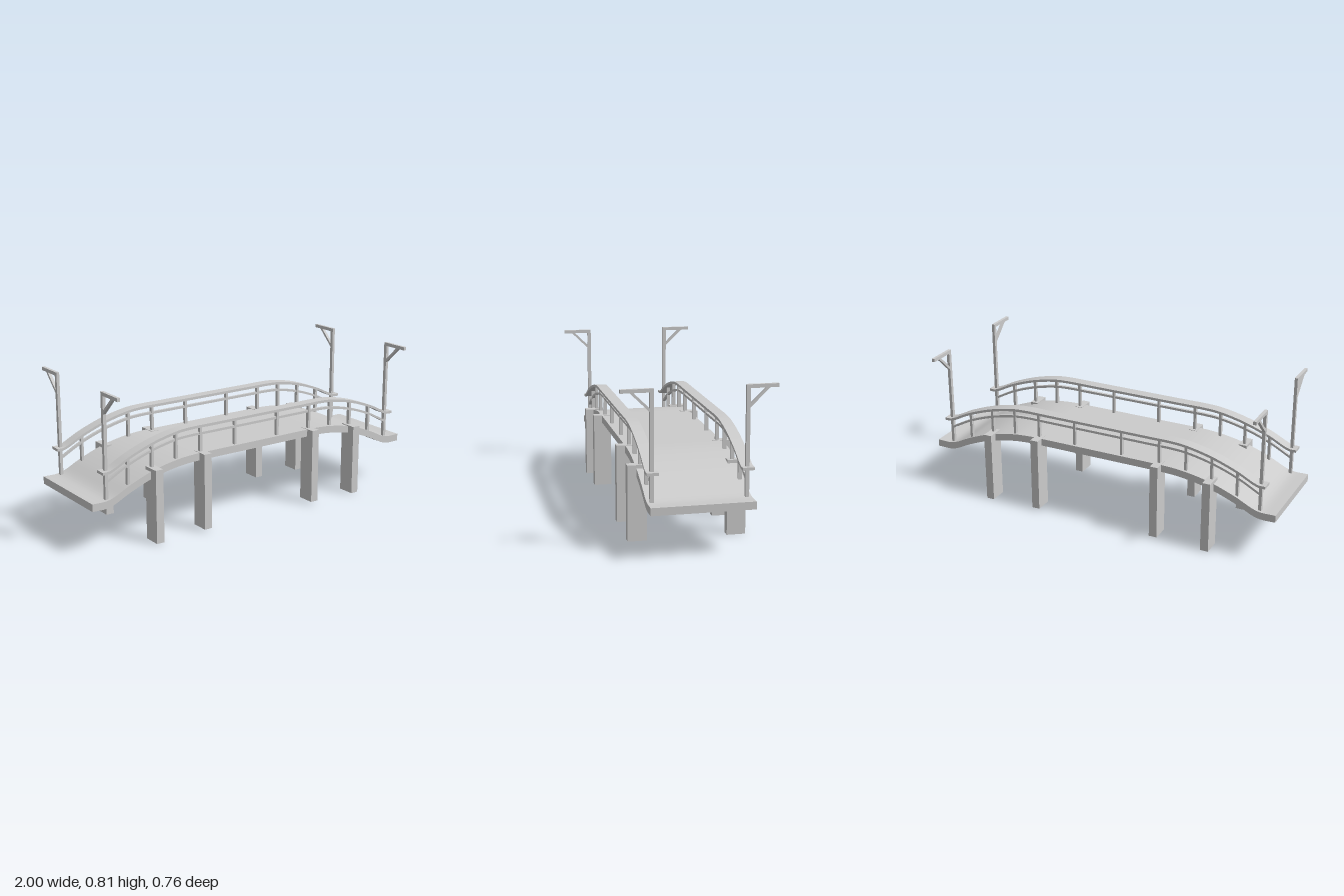
import * as THREE from 'three';
import { toCreasedNormals } from 'three/addons/utils/BufferGeometryUtils.js';

const material = new THREE.MeshStandardMaterial({ color: 0xcccccc });

// Upper edges of the arched parts, from the outer end to the middle (x, y)
const DECK = [[1, 0.27], [0.92, 0.27], [0.88, 0.28], [0.785, 0.325], [0.645, 0.376],
  [0.505, 0.404], [0.41, 0.412], [0.3, 0.413], [0, 0.413]];
const TOP_RAIL = [[0.94, 0.42], [0.9, 0.422], [0.785, 0.476], [0.645, 0.526],
  [0.505, 0.556], [0.42, 0.562], [0.3, 0.562], [0, 0.562]];
const LOW_RAIL = [[0.905, 0.368], [0.785, 0.43], [0.645, 0.48],
  [0.505, 0.51], [0.42, 0.516], [0.3, 0.516], [0, 0.516]];

// Smooth mirrored arch as a list of points from -x to +x
function arch(half) {
  const left = half.map(([x, y]) => new THREE.Vector3(-x, y, 0));
  const right = half.slice(0, -1).reverse().map(([x, y]) => new THREE.Vector3(x, y, 0));
  return new THREE.CatmullRomCurve3([...left, ...right]).getPoints(96);
}

// Height of an arch at a given x
function heightAt(points, x) {
  const i = Math.max(1, points.findIndex((p) => p.x >= x));
  const a = points[i - 1], b = points[i];
  return THREE.MathUtils.lerp(a.y, b.y, (x - a.x) / (b.x - a.x));
}

// Solid strip below an arch, spanning z0..z1
function strip(name, points, thickness, z0, z1) {
  const outline = [
    ...points.map((p) => new THREE.Vector2(p.x, p.y)),
    ...points.slice().reverse().map((p) => new THREE.Vector2(p.x, p.y - thickness)),
  ];
  const geometry = new THREE.ExtrudeGeometry(new THREE.Shape(outline), {
    depth: z1 - z0, bevelEnabled: false,
  });
  geometry.translate(0, 0, z0);
  const mesh = new THREE.Mesh(toCreasedNormals(geometry, 0.5), material);
  mesh.name = name;
  return mesh;
}

// Box given by its limits on each axis
function box(name, x0, x1, y0, y1, z0, z1) {
  const mesh = new THREE.Mesh(new THREE.BoxGeometry(x1 - x0, y1 - y0, z1 - z0), material);
  mesh.position.set((x0 + x1) / 2, (y0 + y1) / 2, (z0 + z1) / 2);
  mesh.name = name;
  return mesh;
}

// Tall post with an outward arm and a diagonal brace
function lampPost(x, side) {
  const group = new THREE.Group();
  group.name = 'lampPost';
  const w = 0.008;
  const span = (a, b) => [Math.min(a * side, b * side), Math.max(a * side, b * side)];
  group.add(box('upright', x - w, x + w, 0.262, 0.8, ...span(0.222, 0.241)));
  group.add(box('arm', x - w, x + w, 0.797, 0.815, ...span(0.222, 0.38)));
  // brace outline in (z, y), extruded across x
  const outline = [[0.24, 0.704], [0.337, 0.799], [0.319, 0.799], [0.24, 0.722]]
    .map(([z, y]) => new THREE.Vector2(z * side, y));
  const geometry = new THREE.ExtrudeGeometry(new THREE.Shape(outline), {
    depth: 2 * w, bevelEnabled: false,
  });
  geometry.translate(0, 0, -w).rotateY(-Math.PI / 2);
  const brace = new THREE.Mesh(geometry, material);
  brace.position.x = x;
  brace.name = 'brace';
  group.add(brace);
  return group;
}

export function createModel() {
  const bridge = new THREE.Group();
  bridge.name = 'footbridge';
  const deck = arch(DECK), topRail = arch(TOP_RAIL), lowRail = arch(LOW_RAIL);

  bridge.add(strip('deck', deck, 0.039, -0.255, 0.255));

  for (const side of [1, -1]) {
    const span = (a, b) => (side > 0 ? [a, b] : [-b, -a]);

    // Railing
    const railing = new THREE.Group();
    railing.name = side > 0 ? 'frontRailing' : 'backRailing';
    railing.add(strip('handrail', topRail, 0.014, ...span(0.202, 0.261)));
    railing.add(strip('lowerRail', lowRail, 0.013, ...span(0.224, 0.239)));
    for (const ax of [0.138, 0.354, 0.503, 0.645, 0.785]) {
      for (const x of [-ax, ax]) {
        railing.add(box('baluster', x - 0.007, x + 0.007,
          heightAt(deck, x) - 0.015, heightAt(topRail, x) - 0.007, ...span(0.222, 0.241)));
      }
    }
    bridge.add(railing);

    for (const end of [-1, 1]) {
      bridge.add(lampPost(0.91 * end, side));
      // Supporting piles: outer and inner
      for (const [px, y0, y1] of [[0.643, 0, 0.387], [0.352, 0.01, 0.415]]) {
        const x = px * end;
        bridge.add(box('pile', x - 0.022, x + 0.022, y0, y1, ...span(0.204, 0.3)));
      }
    }
  }
  return bridge;
}
